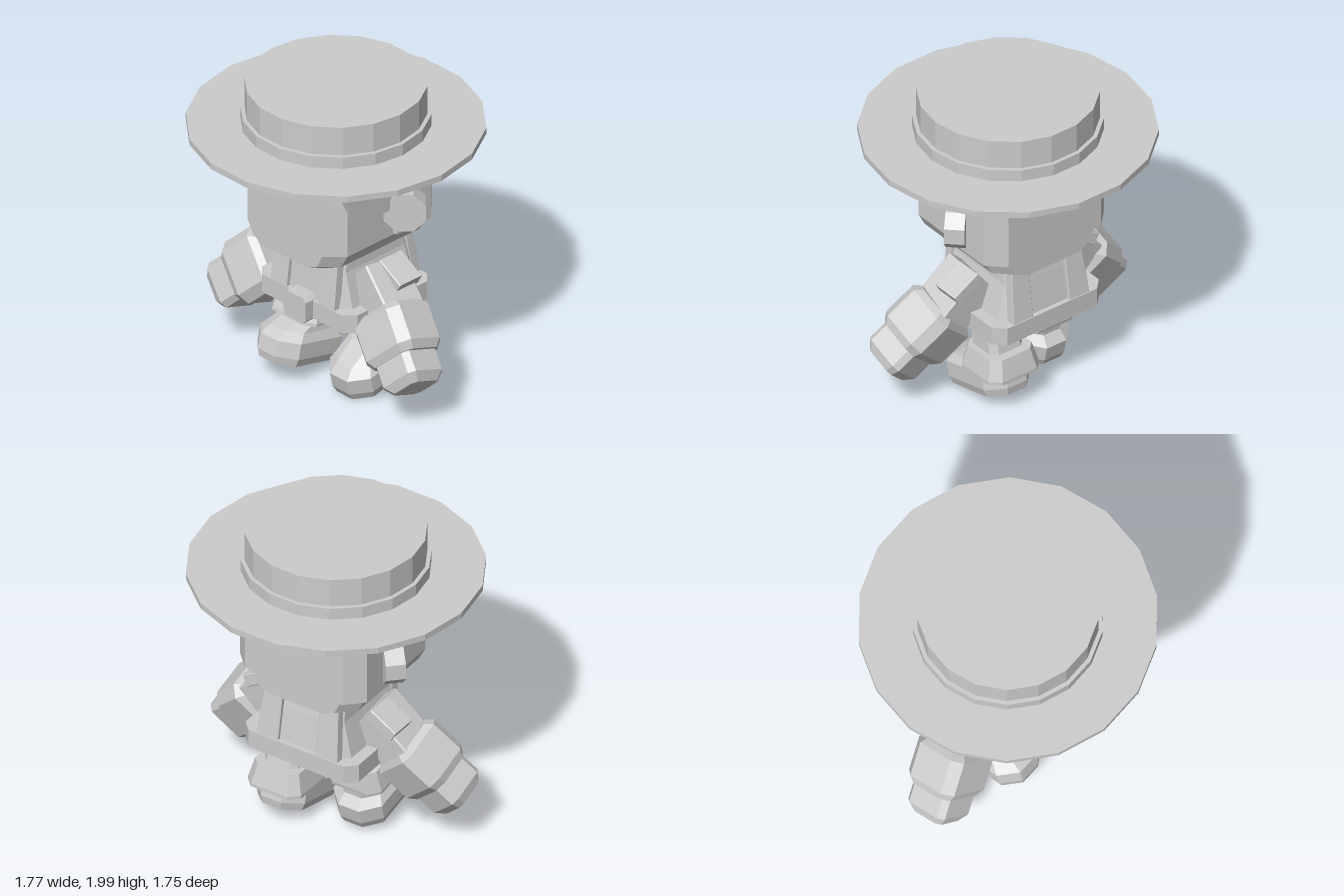
import * as THREE from 'three';

const grey = new THREE.MeshStandardMaterial({ color: 0xcccccc, flatShading: true });
grey.name = 'plain grey';

function part(name, geometry, parent) {
  const mesh = new THREE.Mesh(geometry, grey);
  mesh.name = name;
  parent.add(mesh);
  return mesh;
}

// Closed solid through corner-cut rectangles stacked along y.
// Ring: [y, half width, half depth, corner cut, centre x, centre z]
function loft(rings) {
  const loops = rings.map(([y, hx, hz, c, cx = 0, cz = 0]) =>
    [[c - hx, hz], [hx - c, hz], [hx, hz - c], [hx, c - hz],
      [hx - c, -hz], [c - hx, -hz], [-hx, c - hz], [-hx, hz - c]]
      .map(([x, z]) => [x + cx, y, z + cz]));
  const pos = [];
  const tri = (a, b, c) => pos.push(...a, ...b, ...c);
  for (let r = 0; r < loops.length - 1; r++) {
    const lo = loops[r], hi = loops[r + 1];
    for (let i = 0; i < 8; i++) {
      const j = (i + 1) % 8;
      tri(lo[i], lo[j], hi[j]);
      tri(lo[i], hi[j], hi[i]);
    }
  }
  const first = loops[0], last = loops[loops.length - 1];
  for (let i = 1; i < 7; i++) {
    tri(first[0], first[i + 1], first[i]);
    tri(last[0], last[i], last[i + 1]);
  }
  const g = new THREE.BufferGeometry();
  g.setAttribute('position', new THREE.Float32BufferAttribute(pos, 3));
  g.computeVertexNormals();
  return g;
}

function plate(points, depth) {
  const shape = new THREE.Shape(points.map(([x, y]) => new THREE.Vector2(x, y)));
  return new THREE.ExtrudeGeometry(shape, { depth, bevelEnabled: false });
}

// Points local y along a direction, with local z close to the given side vector
function aim(object, direction, side) {
  const y = direction.clone().normalize();
  const x = new THREE.Vector3().crossVectors(y, side).normalize();
  const z = new THREE.Vector3().crossVectors(x, y);
  object.quaternion.setFromRotationMatrix(new THREE.Matrix4().makeBasis(x, y, z));
}

function addHat(root) {
  const hat = new THREE.Group();
  hat.name = 'hat';
  root.add(hat);
  for (const [name, r, y0, y1] of [
    ['hatBrim', 0.887, 1.695, 1.735], ['hatBand', 0.565, 1.735, 1.812], ['hatCrown', 0.54, 1.812, 2]]) {
    const disc = new THREE.CylinderGeometry(r, r, y1 - y0, 18, 1, false, Math.PI / 2);
    part(name, disc, hat).position.y = (y0 + y1) / 2;
  }
}

function addHead(root) {
  const head = new THREE.Group();
  head.name = 'head';
  root.add(head);
  part('face', loft([
    [0.98, 0.27, 0.42, 0.08], [1.02, 0.37, 0.42, 0.1],
    [1.11, 0.42, 0.42, 0.105], [1.7, 0.42, 0.42, 0.105]]), head);

  // Hair: cap under the hat, back shell, side pieces and jagged fringe
  part('hairCap', loft([[1.57, 0.45, 0.447, 0.105], [1.7, 0.45, 0.447, 0.105]]), head);
  const back = [[-0.45, 0.06], [-0.45, 0.34], [-0.345, 0.445], [0.345, 0.445], [0.45, 0.34], [0.45, 0.06]];
  part('hairBack', plate(back, 0.58).rotateX(-Math.PI / 2), head).position.y = 1.12;
  const side = [[-0.345, 1.7], [-0.345, 1.5], [-0.3, 1.36], [-0.1, 1.31], [0.08, 1.31], [0.08, 1.7]];
  for (const s of [1, -1]) {
    part('hairSide', plate(side, 0.05).rotateY(Math.PI / 2), head).position.x = s * 0.425 - 0.025;
  }
  const half = [[0.09, 1.5], [0.13, 1.565], [0.18, 1.5], [0.24, 1.46], [0.31, 1.49], [0.345, 1.57], [0.345, 1.65]];
  const fringe = [[0, 1.435], ...half, ...half.map(([x, y]) => [-x, y]).reverse()];
  part('hairFringe', plate(fringe, 0.025), head).position.z = 0.41;

  // Octagonal ears turned outward
  for (const s of [1, -1]) {
    const ear = new THREE.CylinderGeometry(0.135, 0.135, 0.12, 8, 1, false, Math.PI / 8);
    ear.rotateX(Math.PI / 2).rotateY(s * Math.PI / 4);
    part(s > 0 ? 'leftEar' : 'rightEar', ear, head).position.set(s * 0.468, 1.29, -0.108);
  }
}

function addTorso(root) {
  const torso = new THREE.Group();
  torso.name = 'torso';
  root.add(torso);
  part('shirt', loft([
    [0.6, 0.335, 0.33, 0.07, 0, -0.07], [0.66, 0.325, 0.32, 0.07, 0, -0.07],
    [0.88, 0.265, 0.29, 0.05, 0, -0.065], [1, 0.255, 0.27, 0.05, 0, -0.06]]), torso);
  part('belt', loft([[0.54, 0.4, 0.35, 0.065, 0, -0.07], [0.66, 0.4, 0.35, 0.065, 0, -0.07]]), torso);
  const buckle = loft([[-0.05, 0.093, 0.087, 0.025], [0.06, 0.093, 0.087, 0.025]]).rotateX(Math.PI / 2);
  part('buckle', buckle, torso).position.set(0, 0.602, 0.28);
  for (const s of [1, -1]) {
    part('frontStrap', loft([
      [0.65, 0.068, 0.03, 0.005, s * 0.2, 0.25], [1, 0.065, 0.03, 0.005, s * 0.195, 0.21]]), torso);
    part('backStrap', loft([
      [0.65, 0.075, 0.03, 0.005, s * 0.21, -0.385], [1, 0.065, 0.03, 0.005, s * 0.195, -0.335]]), torso);
  }
}

function addArm(root, s) {
  const arm = new THREE.Group();
  arm.name = s > 0 ? 'leftArm' : 'rightArm';
  root.add(arm);
  const flat = new THREE.Vector3(0, 0, 1);

  const sleeve = part('sleeve', loft([[0, 0.11, 0.14, 0.01], [0.3, 0.12, 0.14, 0.01]]), arm);
  sleeve.position.set(s * 0.29, 0.85, -0.035);
  aim(sleeve, new THREE.Vector3(s * 0.21, -0.22, 0.03), flat);
  const pad = part('shoulderPad', loft([[-0.1, 0.04, 0.09, 0.005], [0.1, 0.04, 0.09, 0.005]]), arm);
  pad.position.set(s * 0.435, 0.85, -0.09);
  aim(pad, new THREE.Vector3(s * 0.18, -0.105, 0), flat);

  // Glove with a broad cuff, swung forward
  const glove = new THREE.Group();
  glove.name = 'glove';
  arm.add(glove);
  glove.position.set(s * 0.573, 0.53, 0.05);
  aim(glove, new THREE.Vector3(s * 0.69, -0.66, 0.24), new THREE.Vector3(0, 0.3, 0.95));
  part('gloveCuff', loft([
    [-0.16, 0.165, 0.145, 0.05], [-0.12, 0.2, 0.18, 0.06],
    [0.1, 0.2, 0.18, 0.06], [0.15, 0.17, 0.15, 0.05]]), glove);
  part('hand', loft([
    [0.1, 0.145, 0.145, 0.035], [0.28, 0.145, 0.145, 0.035], [0.335, 0.105, 0.11, 0.03]]), glove);
}

// Leg with the boot pitched: toe down behind, toe up in front
function addLeg(root, s) {
  const leg = new THREE.Group();
  leg.name = s > 0 ? 'leftLeg' : 'rightLeg';
  root.add(leg);
  const trailing = s > 0;
  const x = s * 0.215;
  const ankleZ = trailing ? -0.2 : 0.01;
  const ankleY = trailing ? 0.23 : 0.34;

  part('trouserLeg', loft([
    [ankleY + 0.05, 0.125, 0.12, 0.04, x, ankleZ],
    [0.58, 0.11, 0.12, 0.04, x, trailing ? -0.12 : -0.03]]), leg);
  const cuff = part('bootCuff', loft([
    [0, 0.187, 0.187, 0.06], [0.02, 0.187, 0.187, 0.06], [0.15, 0.155, 0.155, 0.05]]), leg);
  cuff.position.set(x, ankleY, ankleZ);
  cuff.rotation.x = trailing ? 0.03 : -0.22;
  const boot = part('boot', loft([
    [0, 0.155, 0.255, 0.09], [0.05, 0.172, 0.272, 0.1],
    [0.15, 0.172, 0.272, 0.1], [0.2, 0.14, 0.21, 0.08], [0.27, 0.12, 0.13, 0.05, 0, -0.07]]), leg);
  boot.position.set(x, trailing ? 0.067 : 0.1, trailing ? -0.11 : 0.11);
  boot.rotation.x = trailing ? 0.235 : -0.235;
}

export function createModel() {
  const root = new THREE.Group();
  root.name = 'hattedFigure';
  addHat(root);
  addHead(root);
  addTorso(root);
  for (const s of [1, -1]) {
    addArm(root, s);
    addLeg(root, s);
  }
  return root;
}
